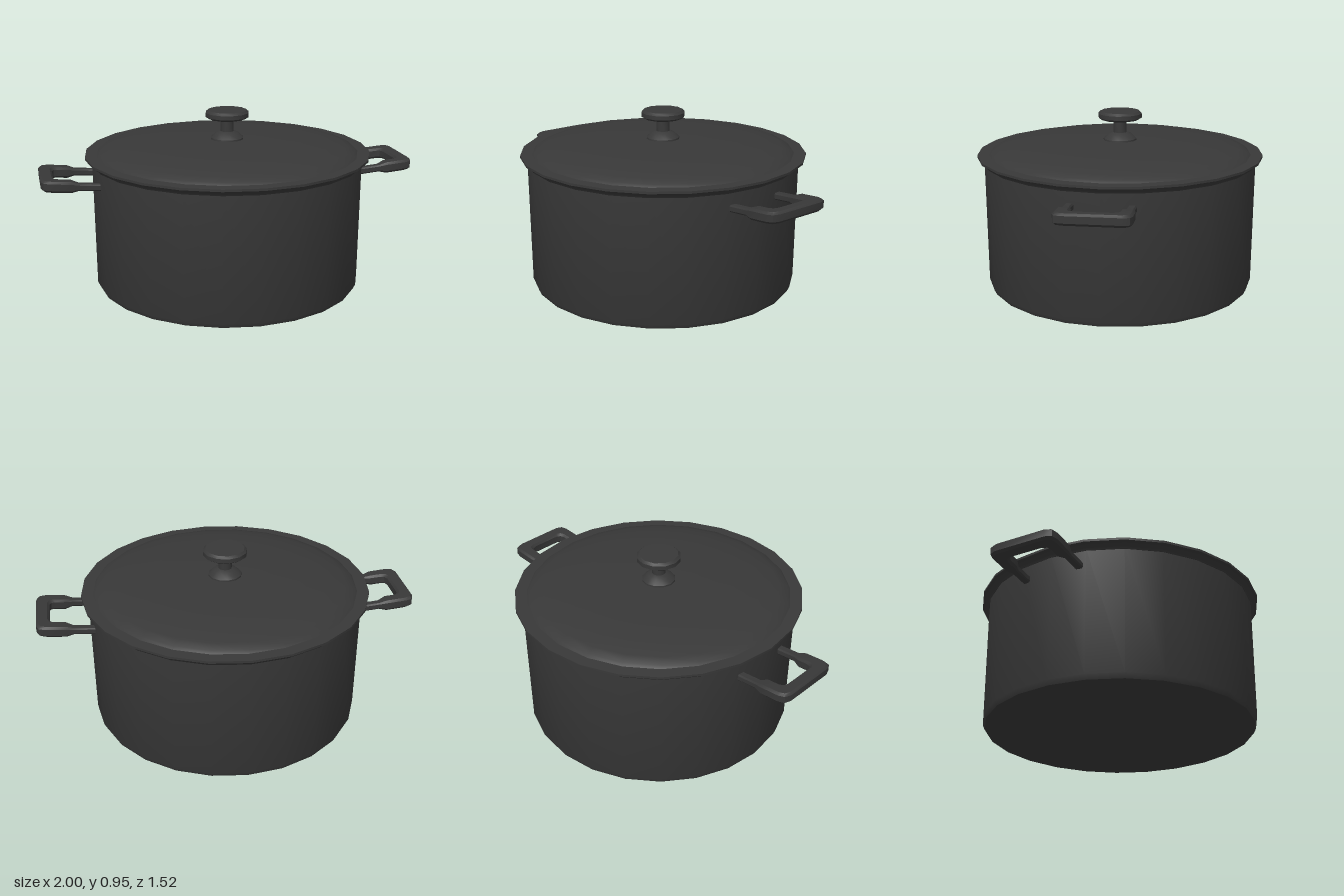
import * as THREE from 'three';
import { toCreasedNormals } from 'three/addons/utils/BufferGeometryUtils.js';

const iron = new THREE.MeshStandardMaterial({ color: 0x383838 });
iron.name = 'dark cast iron';

function addMesh(parent, name, geometry, crease = 0.6) {
  const mesh = new THREE.Mesh(toCreasedNormals(geometry, crease), iron);
  mesh.name = name;
  parent.add(mesh);
  return mesh;
}

// Profile points are [radius, height], running up the outside
function turned(profile, sides) {
  return new THREE.LatheGeometry(profile.map(([r, y]) => new THREE.Vector2(r, y)), sides);
}

// U-shaped bar: chamfered cross-section swept through [inner x, inner z, outer x, outer z, half height]
function handleGeometry() {
  const half = [
    [0.69, 0.13, 0.69, 0.172, 0.018],
    [0.81, 0.13, 0.81, 0.172, 0.018],
    [0.85, 0.112, 0.85, 0.183, 0.029],
    [0.90, 0.112, 0.955, 0.183, 0.029],
    [0.922, 0.104, 0.987, 0.173, 0.029],
    [0.932, 0.08, 1.0, 0.14, 0.029],
  ];
  const stations = [...half, ...half.map(([a, b, c, d, h]) => [a, -b, c, -d, h]).reverse()];
  const section = [[0, -0.6], [0.15, -1], [0.85, -1], [1, -0.6], [1, 0.6], [0.85, 1], [0.15, 1], [0, 0.6]];
  const n = section.length;
  const positions = [];
  const index = [];
  stations.forEach(([ix, iz, ox, oz, h], i) => {
    section.forEach(([t, v], j) => {
      const x = ix + (ox - ix) * t;
      const z = iz + (oz - iz) * t;
      positions.push(x, 0.613 + (x - 0.72) * 0.085 + v * h, z);
      if (i < stations.length - 1) {
        const a = i * n + j, b = i * n + (j + 1) % n;
        index.push(a, b + n, b, a, a + n, b + n);
      }
    });
  });
  const geometry = new THREE.BufferGeometry();
  geometry.setAttribute('position', new THREE.Float32BufferAttribute(positions, 3));
  geometry.setIndex(index);
  return geometry;
}

export function createModel() {
  const model = new THREE.Group();
  model.name = 'cookingPot';

  // Hollow body with a rounded foot
  addMesh(model, 'potBody', turned([
    [0, 0], [0.68, 0], [0.708, 0.01], [0.72, 0.035], [0.725, 0.70],
    [0.685, 0.70], [0.68, 0.04], [0, 0.04],
  ], 24));

  // Lid with flared rim and shallow dome
  const lid = new THREE.Group();
  lid.name = 'lid';
  model.add(lid);
  addMesh(lid, 'lidRim', turned([
    [0.68, 0.685], [0.727, 0.688], [0.735, 0.70], [0.762, 0.718], [0.762, 0.73], [0.69, 0.73],
  ], 24));
  addMesh(lid, 'lidDome', turned([
    [0.70, 0.729], [0.685, 0.742], [0.64, 0.757], [0.54, 0.775], [0.40, 0.788], [0.2, 0.793], [0, 0.795],
  ], 24));

  // Knob: foot, stem and cap
  addMesh(lid, 'knob', turned([
    [0.09, 0.785], [0.088, 0.802], [0.06, 0.828], [0.036, 0.836], [0.036, 0.905],
    [0.1, 0.905], [0.117, 0.916], [0.117, 0.938], [0.104, 0.95], [0, 0.951],
  ], 12));

  // Two matching side handles
  ['leftHandle', 'rightHandle'].forEach((name, i) => {
    addMesh(model, name, handleGeometry()).rotation.y = i * Math.PI;
  });

  return model;
}
